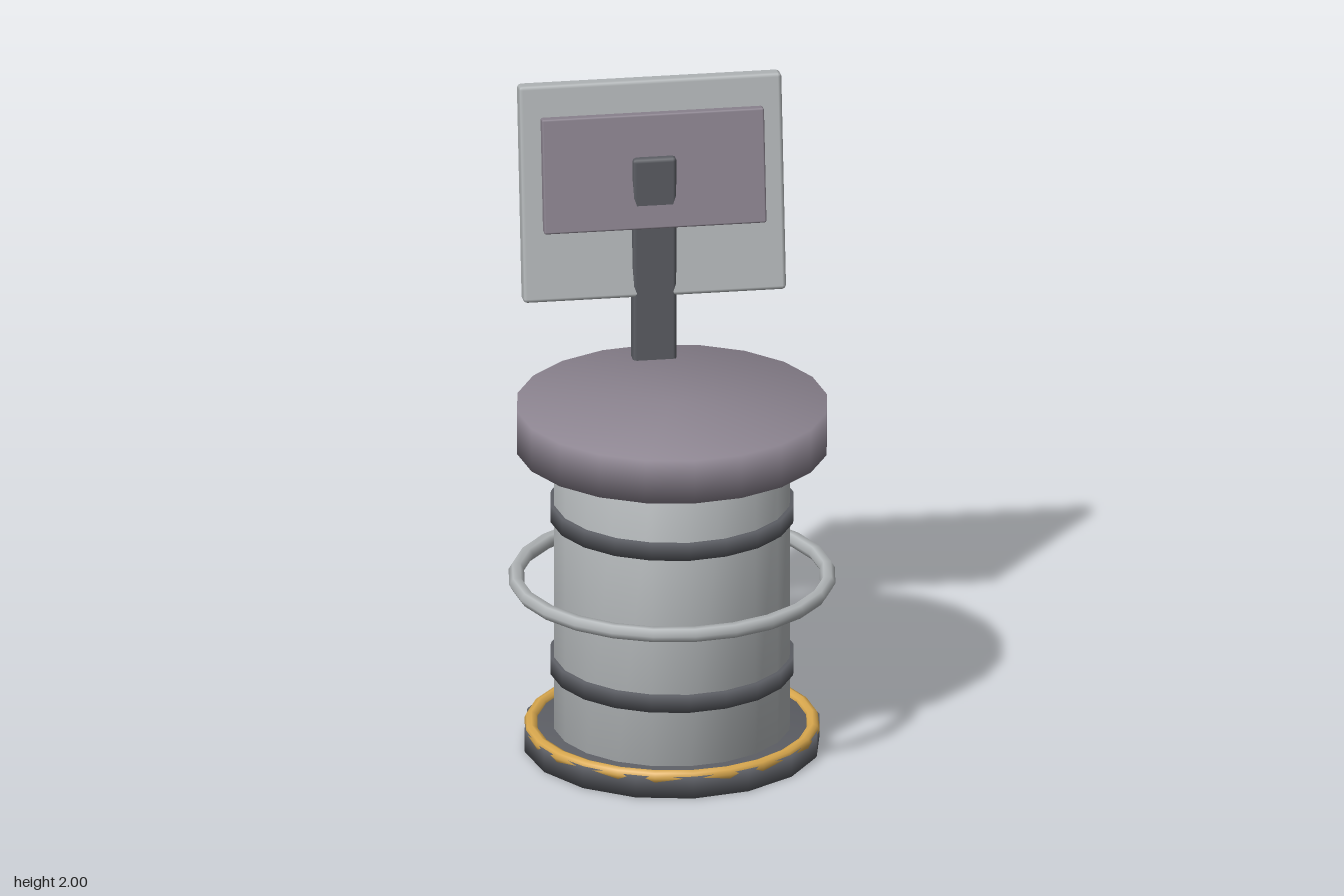
import * as THREE from 'three';
import { RoundedBoxGeometry } from 'three/addons/geometries/RoundedBoxGeometry.js';
import { mergeVertices } from 'three/addons/utils/BufferGeometryUtils.js';

const AXIS_Z = 0.004; // centre of all the round parts
const LEAN = -0.149; // backward tilt of the backrest

const material = (color) => new THREE.MeshStandardMaterial({ color });
const cushion = material(0x8d8591);
const steel = material(0xb4b8ba);
const dark = material(0x5c5e64);
const gold = material(0xd9a84e);

export function createModel() {
  const model = new THREE.Group();
  model.name = 'stool';

  const add = (name, geometry, mat, x, y, z) => {
    const mesh = new THREE.Mesh(geometry, mat);
    mesh.name = name;
    mesh.position.set(x, y, z);
    model.add(mesh);
    return mesh;
  };

  // Upright drum whose rim normals are blended for a soft look
  const drum = (name, radius, bottom, top, sides, mat) => {
    const raw = new THREE.CylinderGeometry(radius, radius, top - bottom, sides);
    raw.deleteAttribute('uv');
    raw.deleteAttribute('normal');
    const geometry = mergeVertices(raw);
    geometry.computeVertexNormals();
    return add(name, geometry, mat, 0, (bottom + top) / 2, AXIS_Z);
  };

  // Horizontal ring
  const ring = (name, radius, tube, y, tubeSides, sides, mat) => {
    const geometry = new THREE.TorusGeometry(radius, tube, tubeSides, sides);
    geometry.rotateX(Math.PI / 2);
    return add(name, geometry, mat, 0, y, AXIS_Z);
  };

  // Box with small chamfers
  const slab = (name, w, h, d, bevel, mat, y, z) =>
    add(name, new RoundedBoxGeometry(w, h, d, 1, bevel), mat, 0, y, z);

  // Base and its trim
  drum('base', 0.455, 0, 0.07, 16, dark);
  ring('baseTrim', 0.432, 0.021, 0.064, 8, 24, gold);

  // Column with two collars
  drum('column', 0.364, 0.05, 1.0, 20, steel);
  for (const [name, y] of [['lowerCollar', 0.25], ['upperCollar', 0.75]]) {
    drum(name, 0.375, y, y + 0.055, 20, dark);
  }

  // Foot ring and seat
  ring('footRing', 0.478, 0.024, 0.55, 6, 24, steel);
  drum('seat', 0.478, 0.98, 1.12, 20, cushion);

  // Backrest: upright post, leaning panel and pad
  slab('backPost', 0.135, 0.91, 0.063, 0.012, dark, 1.325, -0.381);
  slab('backPanel', 0.81, 0.68, 0.06, 0.012, steel, 1.66, -0.428).rotation.x = LEAN;
  slab('backPad', 0.685, 0.36, 0.04, 0.006, cushion, 1.73, -0.385).rotation.x = LEAN;

  return model;
}
